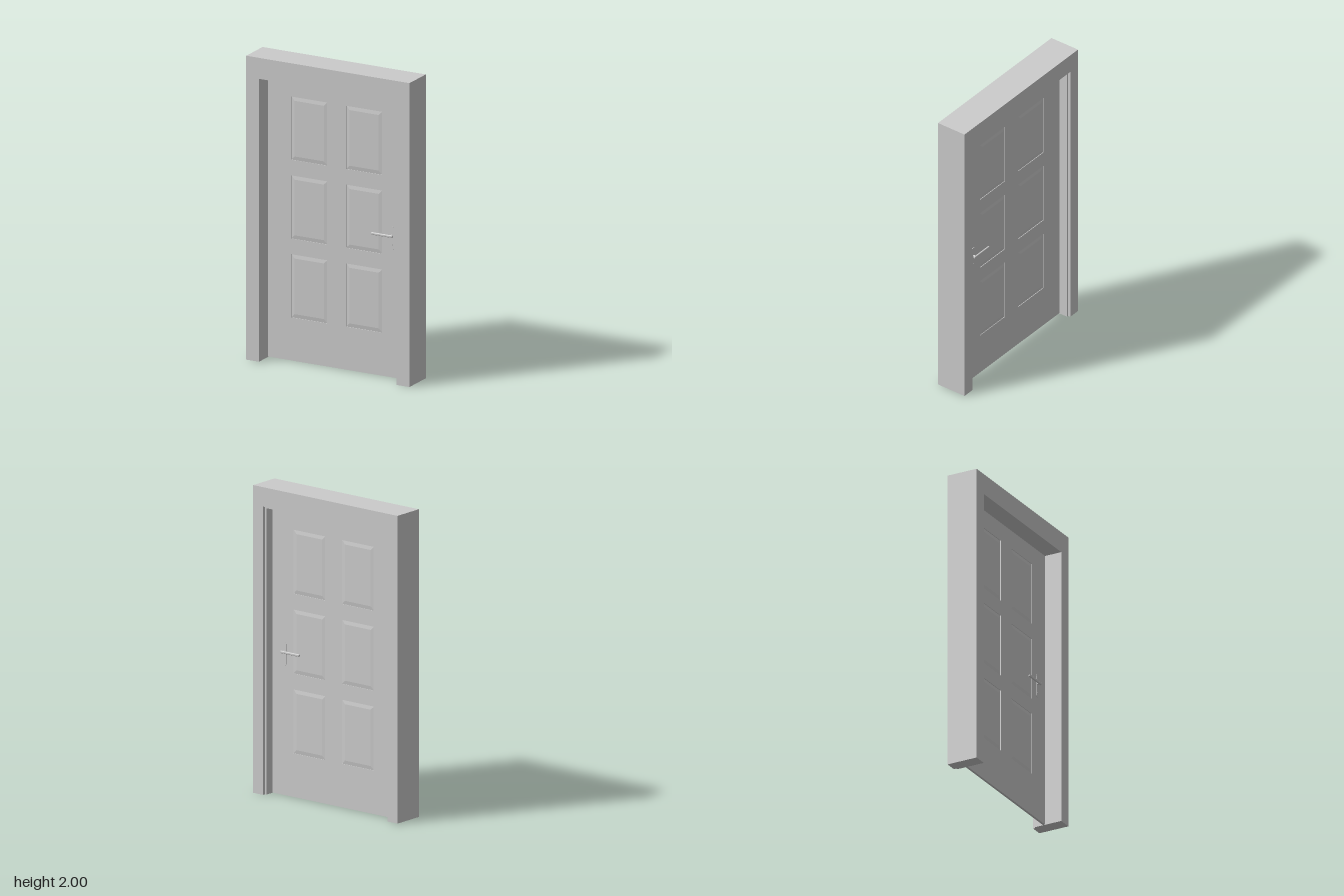
import * as THREE from 'three';
import { RoundedBoxGeometry } from 'three/addons/geometries/RoundedBoxGeometry.js';

const material = new THREE.MeshStandardMaterial({ color: 0xcccccc });
const DOOR_Z = -0.02, DOOR_T = 0.015, RECESS = 0.004, BEVEL = 0.025;

function add(parent, name, geometry, x = 0, y = 0, z = 0) {
  const mesh = new THREE.Mesh(geometry, material);
  mesh.name = name;
  mesh.position.set(x, y, z);
  parent.add(mesh);
  return mesh;
}

function rect(target, x0, y0, x1, y1) {
  return target.moveTo(x0, y0).lineTo(x1, y0).lineTo(x1, y1).lineTo(x0, y1).closePath();
}

function extrude(shape, depth) {
  return new THREE.ExtrudeGeometry(shape, { depth, bevelEnabled: false, curveSegments: 12 });
}

// Upside-down U: two jambs and a head around the opening
function frameShape(halfOpening, openingTop) {
  const w = 0.587, h = 2, s = new THREE.Shape();
  s.moveTo(-w, 0).lineTo(-halfOpening, 0).lineTo(-halfOpening, openingTop);
  s.lineTo(halfOpening, openingTop).lineTo(halfOpening, 0).lineTo(w, 0);
  return s.lineTo(w, h).lineTo(-w, h).closePath();
}

// Backplate, neck and lever for one face of the door, facing +z from z = 0
function makeHandle(side) {
  const handle = new THREE.Group();
  handle.name = side + 'Handle';
  const r = 0.013, plate = new THREE.Shape();
  plate.absarc(0, 0.05, r, 0, Math.PI).absarc(0, -0.08, r, Math.PI, Math.PI * 2).closePath();
  add(handle, 'backplate', extrude(plate, 0.003));
  add(handle, 'neck', new THREE.CylinderGeometry(0.007, 0.007, 0.015, 16).rotateX(Math.PI / 2), 0, 0, 0.0085);
  add(handle, 'keyhole', new THREE.CylinderGeometry(0.005, 0.005, 0.002, 16).rotateX(Math.PI / 2), 0, -0.06, 0.0035);
  return handle;
}

export function createModel() {
  const model = new THREE.Group();
  model.name = 'door';

  // Frame, with a shallow rebate around the back of the opening
  const frame = new THREE.Group();
  frame.name = 'frame';
  model.add(frame);
  add(frame, 'mainFrame', extrude(frameShape(0.495, 1.862), 0.193), 0, 0, -0.088);
  add(frame, 'rebate', extrude(frameShape(0.507, 1.874), 0.017), 0, 0, -0.105);

  // Door leaf pierced for six panels
  const leaf = new THREE.Group();
  leaf.name = 'leaf';
  leaf.position.z = DOOR_Z;
  model.add(leaf);
  const slab = rect(new THREE.Shape(), -0.495, 0.002, 0.495, 1.862);
  const pw = 0.26, ph = 0.416;
  const field = rect(new THREE.Shape(), -pw / 2 + BEVEL, -ph / 2 + BEVEL, pw / 2 - BEVEL, ph / 2 - BEVEL);
  const core = DOOR_T - 2 * RECESS;
  const panel = new THREE.ExtrudeGeometry(field, {
    depth: core, bevelEnabled: true, bevelSegments: 1, bevelSize: BEVEL, bevelThickness: RECESS,
  }).translate(0, 0, -core / 2);
  for (const x of [-0.2, 0.195]) {
    for (const y of [0.493, 1.012, 1.531]) {
      slab.holes.push(rect(new THREE.Path(), x - pw / 2, y - ph / 2, x + pw / 2, y + ph / 2));
      add(leaf, 'panel', panel, x, y, 0);
    }
  }
  add(leaf, 'slab', extrude(slab, DOOR_T), 0, 0, -DOOR_T / 2);

  // Lever handles on both faces
  for (const [side, dir] of [['front', 1], ['back', -1]]) {
    const handle = makeHandle(side);
    handle.position.set(0.395, 0.935, dir * DOOR_T / 2);
    if (dir < 0) handle.rotation.y = Math.PI;
    add(handle, 'lever', new RoundedBoxGeometry(0.154, 0.016, 0.012, 3, 0.005), -0.06 * dir, 0, 0.02);
    leaf.add(handle);
  }
  return model;
}
